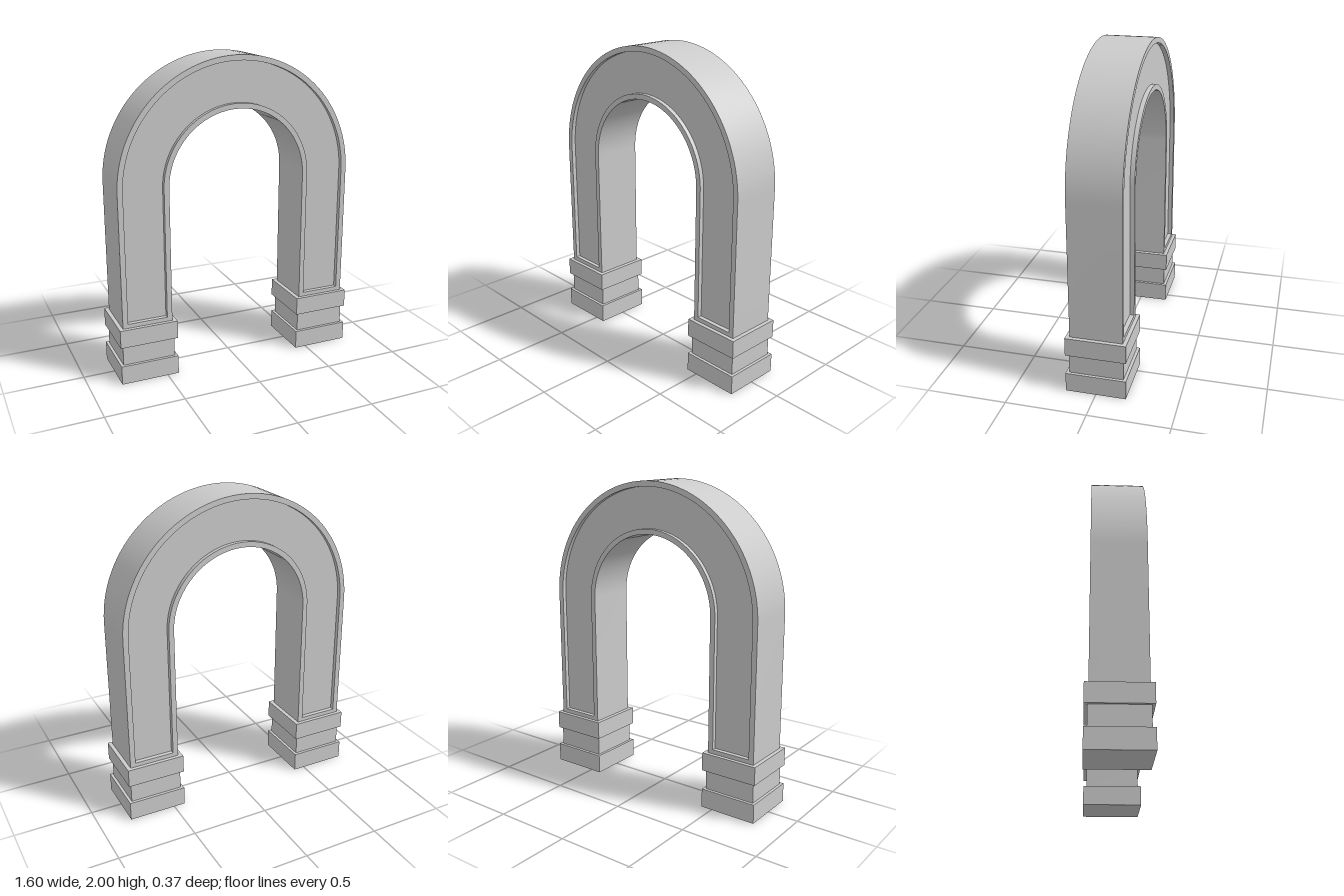
import * as THREE from 'three';
import { toCreasedNormals } from 'three/addons/utils/BufferGeometryUtils.js';

const SPRING_Y = 1.225; // height where the legs turn into the half circle
const HALF_DEPTH = 0.163;
const RECESS = 0.028;
const SEGMENTS = 32;

// Upside-down U outline between two concentric half circles
function archOutline(path, outer, inner, bottom) {
  path.moveTo(outer, bottom);
  path.lineTo(outer, SPRING_Y);
  path.absarc(0, SPRING_Y, outer, 0, Math.PI, false);
  path.lineTo(-outer, bottom);
  path.lineTo(-inner, bottom);
  path.lineTo(-inner, SPRING_Y);
  path.absarc(0, SPRING_Y, inner, Math.PI, 0, true);
  path.lineTo(inner, bottom);
  path.closePath();
  return path;
}

export function createModel() {
  const group = new THREE.Group();
  const material = new THREE.MeshStandardMaterial({ color: 0xcccccc });

  const add = (name, geometry, x = 0, y = 0, z = 0) => {
    const mesh = new THREE.Mesh(geometry, material);
    mesh.name = name;
    mesh.position.set(x, y, z);
    group.add(mesh);
    return mesh;
  };

  // Arch body with a raised border around the panel opening
  const frame = archOutline(new THREE.Shape(), 0.775, 0.453, 0.365);
  frame.holes.push(archOutline(new THREE.Path(), 0.741, 0.486, 0.392));
  const body = new THREE.ExtrudeGeometry(frame, {
    depth: HALF_DEPTH * 2, bevelEnabled: false, curveSegments: SEGMENTS,
  });
  body.translate(0, 0, -HALF_DEPTH);
  add('archFrame', toCreasedNormals(body, Math.PI / 6));

  // Recessed panels, front and back
  const panel = new THREE.ShapeGeometry(archOutline(new THREE.Shape(), 0.741, 0.486, 0.392), SEGMENTS);
  add('frontPanel', panel, 0, 0, HALF_DEPTH - RECESS);
  add('backPanel', panel, 0, 0, RECESS - HALF_DEPTH).rotation.y = Math.PI;

  // Stepped pedestals: name, bottom, top, width, depth
  const steps = [
    ['Plinth', 0, 0.122, 0.374, 0.374],
    ['Neck', 0.122, 0.248, 0.338, 0.336],
    ['Cap', 0.248, 0.365, 0.374, 0.374],
  ];
  for (const [side, sign] of [['left', 1], ['right', -1]]) {
    for (const [part, y0, y1, width, depth] of steps) {
      add(side + part, new THREE.BoxGeometry(width, y1 - y0, depth), sign * 0.613, (y0 + y1) / 2);
    }
  }
  return group;
}
